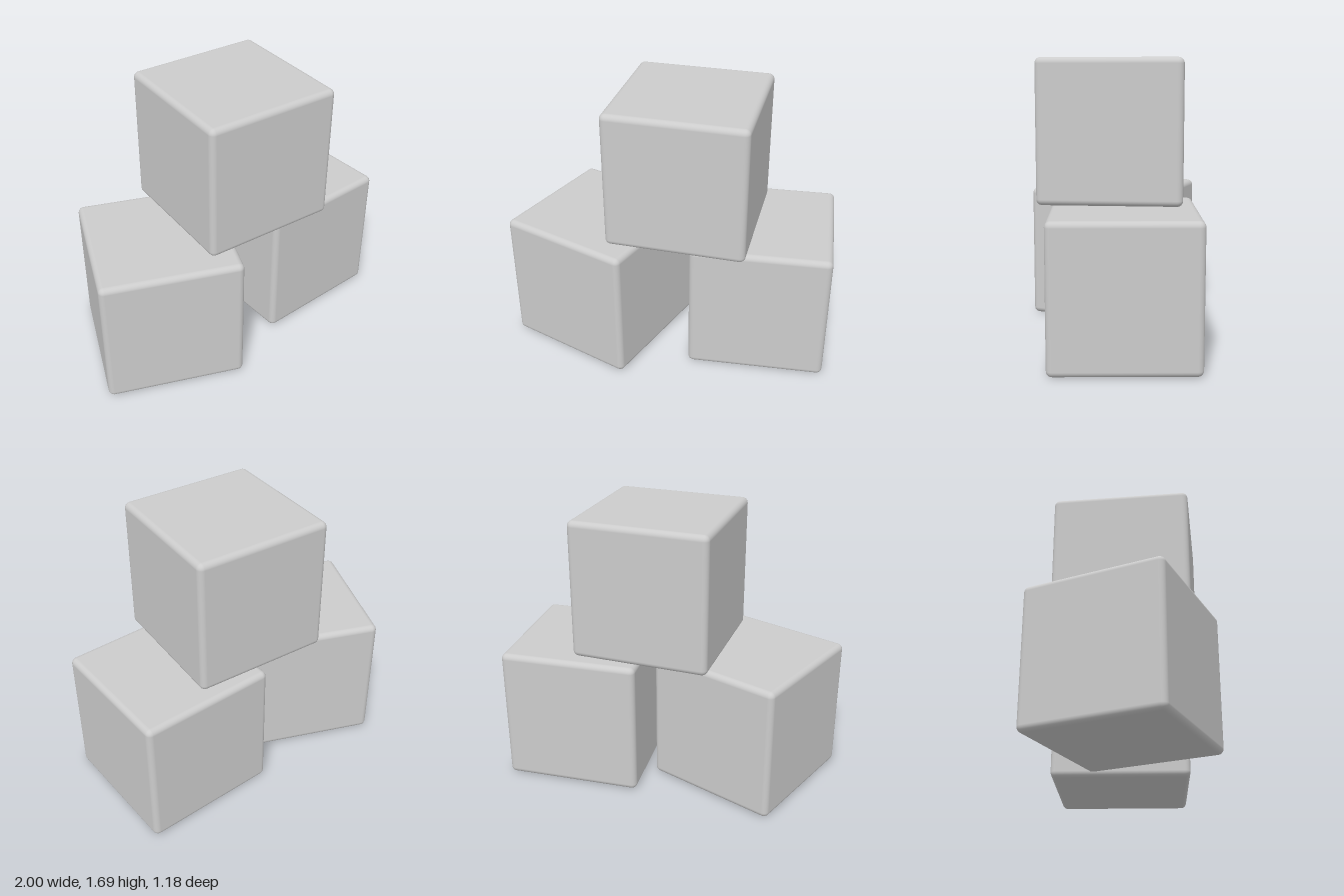
import * as THREE from 'three';
import { RoundedBoxGeometry } from 'three/addons/geometries/RoundedBoxGeometry.js';

const SIDE = 0.843;
const BEVEL = 0.035;

export function createModel() {
  const group = new THREE.Group();
  group.name = 'stackedBlocks';
  const material = new THREE.MeshStandardMaterial({ color: 0xcccccc });
  const geometry = new RoundedBoxGeometry(SIDE, SIDE, SIDE, 4, BEVEL);

  // Each block: name, x, z, level in the stack, turn about y in degrees
  const blocks = [
    ['lowerRightBlock', -0.49, 0.077, 0, -15],
    ['lowerLeftBlock', 0.523, -0.118, 0, 8.6],
    ['upperBlock', 0.068, 0, 1, 3.5],
  ];
  for (const [name, x, z, level, turn] of blocks) {
    const block = new THREE.Mesh(geometry, material);
    block.name = name;
    block.position.set(x, SIDE * (level + 0.5), z);
    block.rotation.y = THREE.MathUtils.degToRad(turn);
    group.add(block);
  }
  return group;
}
